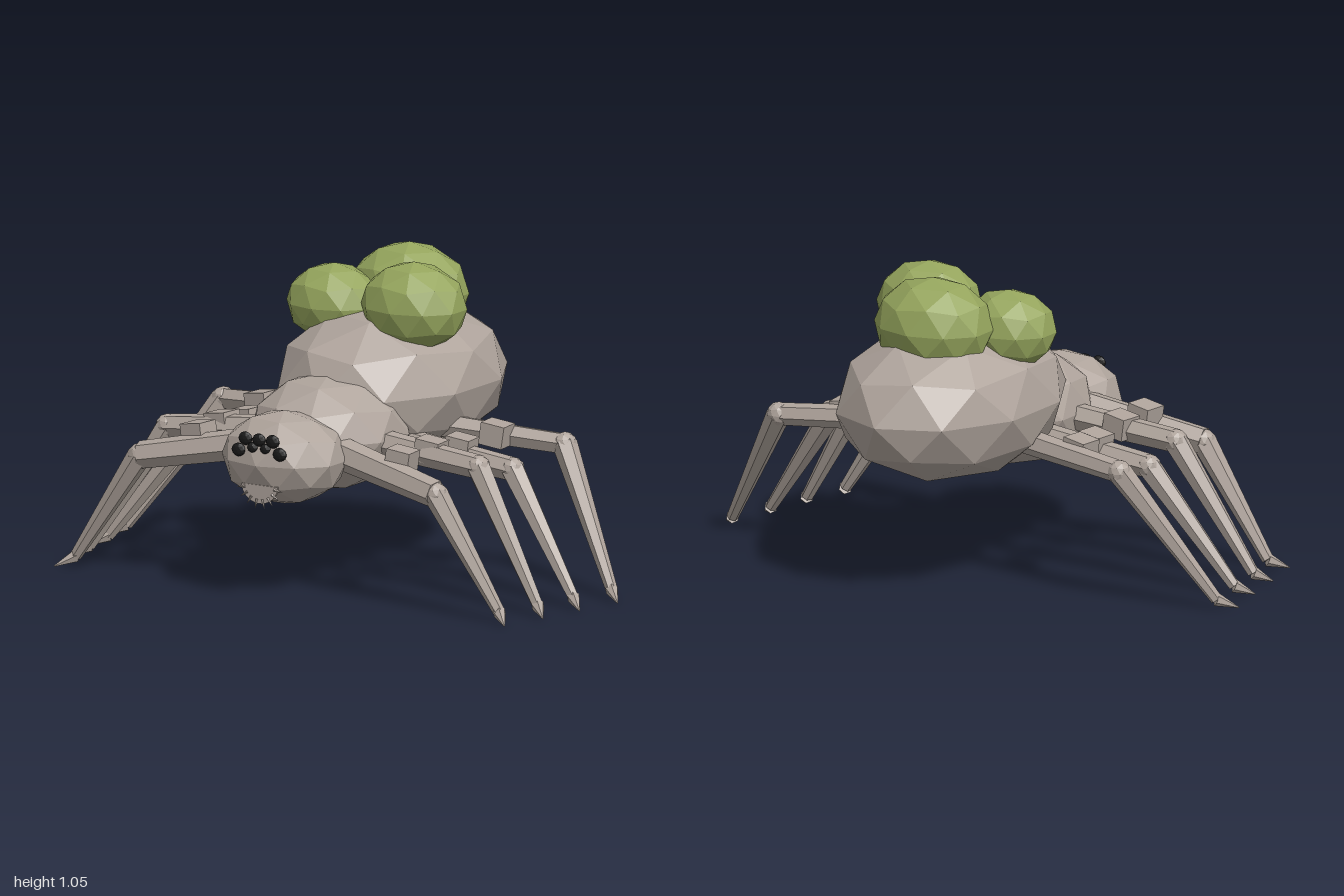
import * as THREE from 'three';

const mat = (name, color) => {
  const m = new THREE.MeshStandardMaterial({ color });
  m.name = name;
  return m;
};

// Facet a geometry so every face has its own normal
function faceted(geo) {
  const g = geo.index ? geo.toNonIndexed() : geo;
  g.computeVertexNormals();
  return g;
}

export function createModel() {
  const spider = new THREE.Group();
  spider.name = 'spider';
  const skin = mat('greyBrownSkin', 0xafa49c);
  const eggGreen = mat('eggGreen', 0x95a55d);
  const black = mat('eyeBlack', 0x1a1a1a);

  const add = (parent, name, geo, material) => {
    const m = new THREE.Mesh(geo, material);
    m.name = name;
    parent.add(m);
    return m;
  };

  // Icosphere with a vertex at each vertical pole
  const ball = faceted(new THREE.IcosahedronGeometry(1, 1)
    .rotateX(-Math.atan2(0.8507, 0.5257)).rotateY(Math.PI / 2));
  const blob = (parent, name, pos, radii, material) => {
    const m = add(parent, name, ball, material);
    m.position.set(...pos);
    m.scale.set(...radii);
    return m;
  };

  // Body
  blob(spider, 'abdomen', [0, 0.62, -0.19], [0.352, 0.265, 0.47], skin);
  blob(spider, 'thorax', [0, 0.507, 0.19], [0.263, 0.197, 0.285], skin);
  blob(spider, 'head', [0, 0.468, 0.475], [0.22, 0.157, 0.18], skin);

  // Egg sacs on the back
  blob(spider, 'eggLeft', [0.15, 0.89, -0.085], [0.187, 0.15, 0.153], eggGreen);
  blob(spider, 'eggRear', [0, 0.89, -0.295], [0.21, 0.163, 0.168], eggGreen);
  blob(spider, 'eggRight', [-0.178, 0.862, -0.112], [0.166, 0.133, 0.142], eggGreen);

  // Eyes: a row of three above a row of four
  const eyes = new THREE.Group();
  eyes.name = 'eyes';
  spider.add(eyes);
  for (const [x, y, r] of [
    [-0.053, 0.553, 0.026], [0, 0.553, 0.025], [0.053, 0.553, 0.026],
    [-0.08, 0.512, 0.026], [-0.025, 0.525, 0.02], [0.025, 0.525, 0.02], [0.08, 0.512, 0.026],
  ]) blob(eyes, 'eye', [x, y, 0.632], [r, r * 0.9, 0.014], black);

  // Mouth plate with a fringe of small teeth
  const mouth = new THREE.Group();
  mouth.name = 'mouth';
  mouth.position.set(0, 0.4, 0.622);
  spider.add(mouth);
  const plate = new THREE.Shape();
  plate.absellipse(0, 0, 0.07, 0.062, Math.PI, Math.PI * 2, false);
  plate.closePath();
  add(mouth, 'mouthPlate', faceted(new THREE.ExtrudeGeometry(plate,
    { depth: 0.008, bevelEnabled: false, curveSegments: 8 })), skin);
  for (let i = 0; i < 8; i++) {
    const a = Math.PI * (1 + (i + 0.5) / 8);
    const tooth = add(mouth, 'tooth', faceted(new THREE.ConeGeometry(0.007, 0.034, 4)), skin);
    tooth.position.set(Math.cos(a) * 0.074, Math.sin(a) * 0.064, 0.006);
    tooth.rotation.z = a - Math.PI / 2;
  }

  // Tapered six-sided segment between two points
  const up = new THREE.Vector3(0, 1, 0);
  function limb(parent, name, from, to, r0, r1) {
    const a = new THREE.Vector3(...from), b = new THREE.Vector3(...to);
    const d = b.clone().sub(a);
    const m = add(parent, name, faceted(new THREE.CylinderGeometry(r1, r0, d.length(), 6)), skin);
    m.position.copy(a).add(b).multiplyScalar(0.5);
    m.quaternion.setFromUnitVectors(up, d.normalize());
  }

  // Legs, front to back: hip, knee, ankle, toe, joint block
  const legs = [
    { hip: [0.14, 0.485, 0.375], knee: [0.575, 0.405, 0.455], ankle: [0.825, 0.035, 0.457],
      toe: [0.877, 0.004, 0.508], block: [0.395, 0.485, 0.378], r: 0.055 },
    { hip: [0.14, 0.5, 0.215], knee: [0.605, 0.46, 0.238], ankle: [0.872, 0.035, 0.295],
      toe: [0.92, 0.004, 0.34], block: [0.405, 0.49, 0.215], r: 0.048 },
    { hip: [0.14, 0.47, 0.045], knee: [0.62, 0.42, 0.05], ankle: [0.905, 0.035, 0.127],
      toe: [0.957, 0.004, 0.173], block: [0.415, 0.47, 0.045], r: 0.048 },
    { hip: [0.14, 0.5, -0.105], knee: [0.665, 0.465, -0.2], ankle: [0.945, 0.035, -0.045],
      toe: [1.0, 0.004, 0.005], block: [0.455, 0.492, -0.11], r: 0.044 },
  ];
  legs.forEach((leg, i) => {
    for (const s of [1, -1]) {
      const g = new THREE.Group();
      g.name = `${s > 0 ? 'left' : 'right'}Leg${i + 1}`;
      spider.add(g);
      const p = ([x, y, z]) => [x * s, y, z];
      limb(g, 'thigh', p(leg.hip), p(leg.knee), leg.r, leg.r * 0.85);
      limb(g, 'shin', p(leg.knee), p(leg.ankle), 0.042, 0.02);
      limb(g, 'foot', p(leg.ankle), p(leg.toe), 0.023, 0.002);
      blob(g, 'kneeJoint', p(leg.knee), [0.041, 0.041, 0.041], skin);
      const block = add(g, 'jointBlock', new THREE.BoxGeometry(0.085, 0.075, 0.085), skin);
      block.position.set(...p(leg.block));
      block.rotation.set(0, s * 0.12, -s * 0.15);
    }
  });

  return spider;
}
